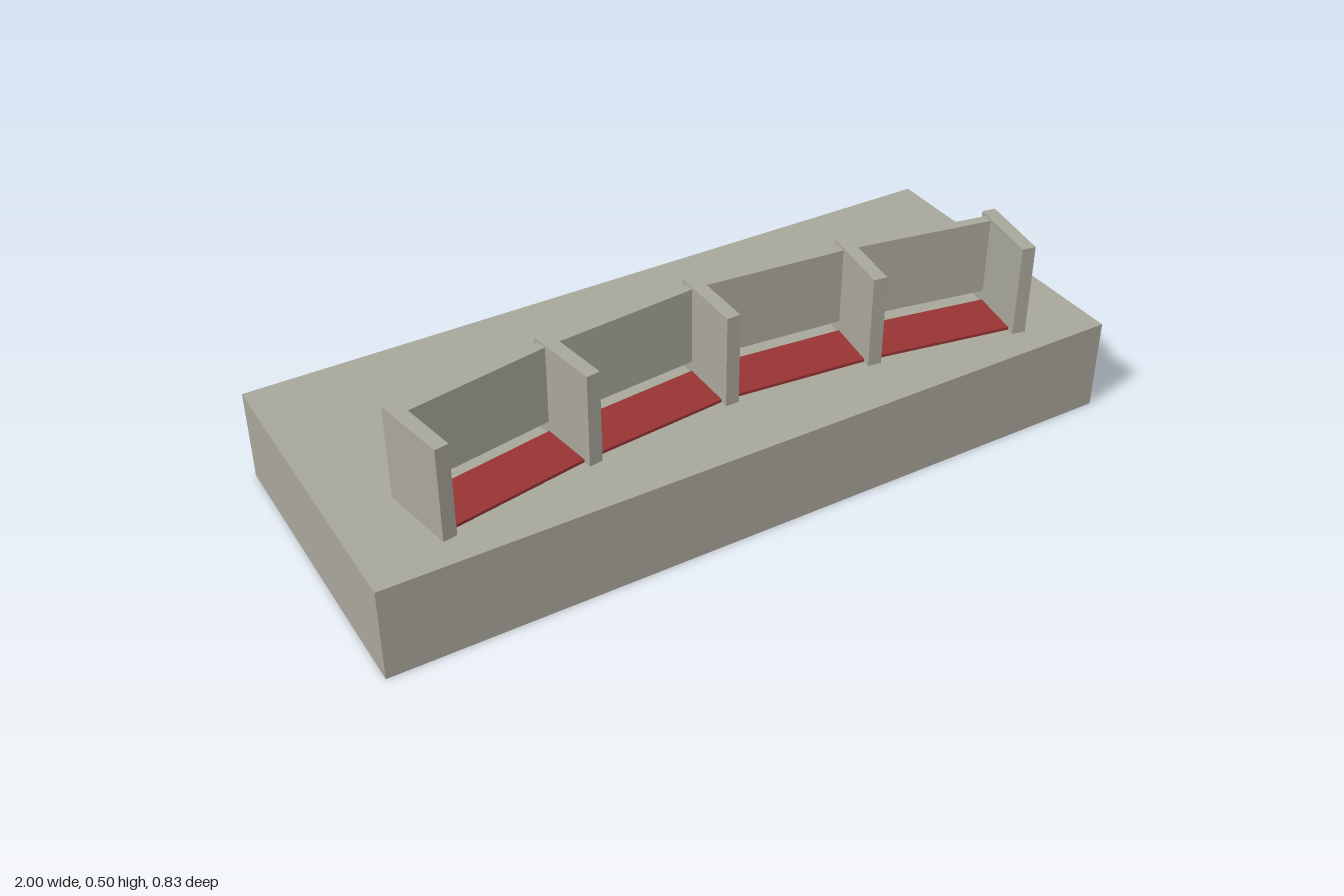
import * as THREE from 'three';

export function createModel() {
  const model = new THREE.Group();
  const stone = new THREE.MeshStandardMaterial({ color: 0xa8a69b });
  stone.name = 'warm grey stone';
  const red = new THREE.MeshStandardMaterial({ color: 0x983434 });
  red.name = 'dark red';

  const add = (name, geometry, material) => {
    const mesh = new THREE.Mesh(geometry, material);
    mesh.name = name;
    model.add(mesh);
    return mesh;
  };

  // Plinth
  const top = 0.25;
  add('base', new THREE.BoxGeometry(2, top, 0.83).translate(0, top / 2, 0), stone);

  // Dividers fan out along a shallow arc: centre x, centre z, turn in degrees
  const depth = 0.205;
  const stations = [
    [-0.808, 0.235, 9.8], [-0.406, 0.163, 8], [0, 0.124, 0],
    [0.406, 0.163, -8], [0.808, 0.235, -9.8],
  ].map(([x, z, deg]) => ({ x, z, turn: THREE.MathUtils.degToRad(deg) }));

  for (const { x, z, turn } of stations) {
    const divider = add('divider', new THREE.BoxGeometry(0.036, 0.25, depth), stone);
    divider.position.set(x, top + 0.125, z);
    divider.rotation.y = turn;
  }

  // Point on a divider's centre line, measured from its back end
  const along = ({ x, z, turn }, d) => {
    const s = d - depth / 2;
    return new THREE.Vector2(x + Math.sin(turn) * s, -(z + Math.cos(turn) * s));
  };

  // Four-sided slab spanning two neighbouring dividers
  const slab = (a, b, back, front, y0, y1) => {
    const shape = new THREE.Shape([along(a, front), along(b, front), along(b, back), along(a, back)]);
    return new THREE.ExtrudeGeometry(shape, { depth: y1 - y0, bevelEnabled: false })
      .rotateX(-Math.PI / 2).translate(0, y0, 0);
  };

  for (let i = 0; i < stations.length - 1; i++) {
    const a = stations[i], b = stations[i + 1];
    // Raised back panel with an open gap below, and the red floor in front of it
    add('backPanel', slab(a, b, 0.016, 0.043, 0.285, 0.494), stone);
    add('redFloor', slab(a, b, 0.043, 0.183, top, top + 0.008), red);
  }
  return model;
}
